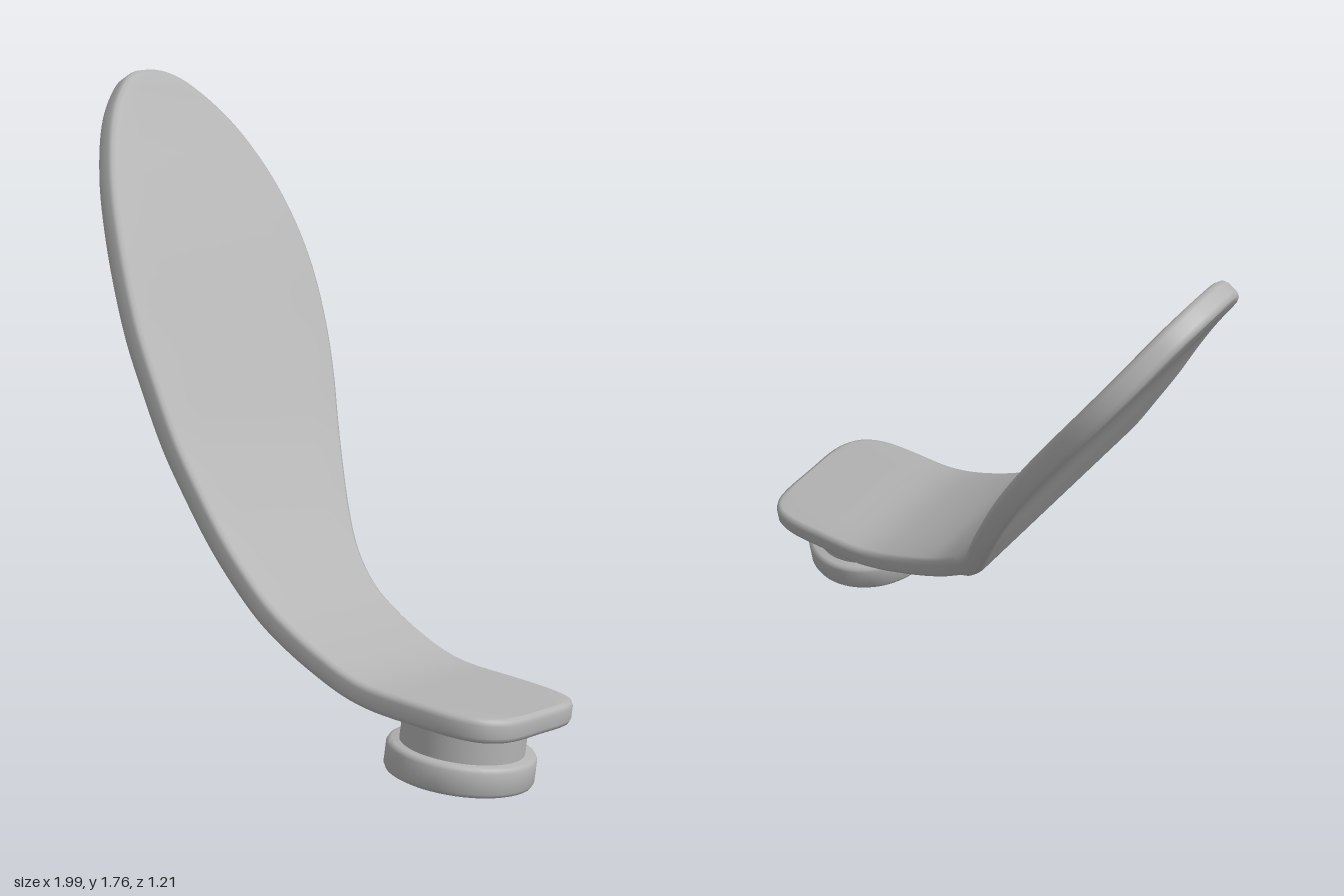
import * as THREE from 'three';
import { mergeVertices, toCreasedNormals } from 'three/addons/utils/BufferGeometryUtils.js';

// Blade stations from the foot end to the tip: x, height, front edge z, back edge z
const STATIONS = [
  [1, .223, .4, .4], [1, .223, .5, .28], [.985, .223, .565, .21], [.94, .223, .62, .165],
  [.86, .223, .648, .146], [.75, .223, .653, .142], [.6, .223, .65, .141], [.5, .238, .649, .141],
  [.4, .27, .647, .137], [.3, .311, .646, .128], [.2, .364, .646, .112], [.1, .441, .648, .075],
  [0, .533, .65, .006], [-.1, .645, .653, -.073], [-.2, .767, .655, -.155], [-.3, .91, .65, -.234],
  [-.4, 1.055, .637, -.295], [-.5, 1.205, .605, -.33], [-.6, 1.345, .555, -.338],
  [-.7, 1.475, .487, -.32], [-.8, 1.6, .395, -.268], [-.87, 1.69, .308, -.19],
  [-.92, 1.76, .215, -.085], [-.94, 1.787, .14, -.005], [-.945, 1.794, .06, .06],
];
const THICKNESS = .07, BEVEL = .018, ROWS = 96, COLS = 6;

// Upward surface normal of the bent blade
function bladeNormal(x) {
  const slope = 1.35 * THREE.MathUtils.smoothstep(-x, -.65, .35);
  return new THREE.Vector3(slope, 1, 0).normalize();
}

function bladeGeometry() {
  const edge = (k) => new THREE.CatmullRomCurve3(
    STATIONS.map((s) => new THREE.Vector3(s[0], s[1], s[k])), false, 'catmullrom').getPoints(ROWS);
  const front = edge(2), back = edge(3);
  const outline = [...front, ...back.slice(1, -1).reverse()];
  const N = outline.length;

  // Rings around the rim: inset from the outline, depth below the top face
  const b = BEVEL, t = THICKNESS;
  const rings = [[b, 0], [b * .3, b * .3], [0, b], [0, t - b], [b * .3, t - b * .3], [b, t]]
    .map(([inset, depth]) => outline.map((p, i) => {
      const n = bladeNormal(p.x);
      const along = outline[(i + 1) % N].clone().sub(outline[(i + N - 1) % N]);
      const out = n.clone().cross(along).normalize();
      return p.clone().addScaledVector(out, -inset).addScaledVector(n, -depth);
    }));

  const pos = [], index = [];
  rings.forEach((ring) => ring.forEach((p) => pos.push(p.x, p.y, p.z)));
  for (let k = 0; k < rings.length - 1; k++) {
    for (let i = 0; i < N; i++) {
      const a = k * N + i, c = k * N + (i + 1) % N;
      index.push(a, c, a + N, c, c + N, a + N);
    }
  }

  // Top and bottom faces span from the front edge to the back edge
  const addFace = (ring, top) => {
    const base = pos.length / 3, w = COLS + 1;
    for (let i = 0; i <= ROWS; i++) {
      for (let j = 0; j <= COLS; j++) {
        const p = ring[i].clone().lerp(ring[(N - i) % N], j / COLS);
        pos.push(p.x, p.y, p.z);
      }
    }
    for (let i = 0; i < ROWS; i++) {
      for (let j = 0; j < COLS; j++) {
        const a = base + i * w + j;
        if (top) index.push(a, a + 1, a + w, a + 1, a + w + 1, a + w);
        else index.push(a, a + w, a + 1, a + 1, a + w, a + w + 1);
      }
    }
  };
  addFace(rings[0], true);
  addFace(rings[rings.length - 1], false);

  const geo = new THREE.BufferGeometry();
  geo.setAttribute('position', new THREE.Float32BufferAttribute(pos, 3));
  geo.setIndex(index);
  const merged = mergeVertices(geo, 1e-5);
  merged.computeVertexNormals();
  return merged;
}

// Turned part with softly rounded rims
function turned(profile) {
  const pts = profile.map(([r, y]) => new THREE.Vector2(r, y));
  return toCreasedNormals(new THREE.LatheGeometry(pts, 64), .7);
}

export function createModel() {
  const grey = new THREE.MeshStandardMaterial({ color: 0xb4b4b4 });
  grey.name = 'grey';

  const model = new THREE.Group();
  model.name = 'curvedPaddle';
  const tilted = new THREE.Group();
  tilted.name = 'tiltedAssembly';
  tilted.rotation.x = -.196;
  model.add(tilted);

  const add = (name, geo, x = 0, y = 0, z = 0) => {
    const mesh = new THREE.Mesh(geo, grey);
    mesh.name = name;
    mesh.position.set(x, y, z);
    tilted.add(mesh);
  };

  add('blade', bladeGeometry());
  add('neck', turned([[.18, 0], [.18, .11]]), .75, .05, .392);
  add('footDisc', turned([
    [0, 0], [.202, 0], [.211, .004], [.216, .014], [.216, .074], [.211, .084], [.202, .088], [0, .088],
  ]), .75, -.03, .392);

  return model;
}
